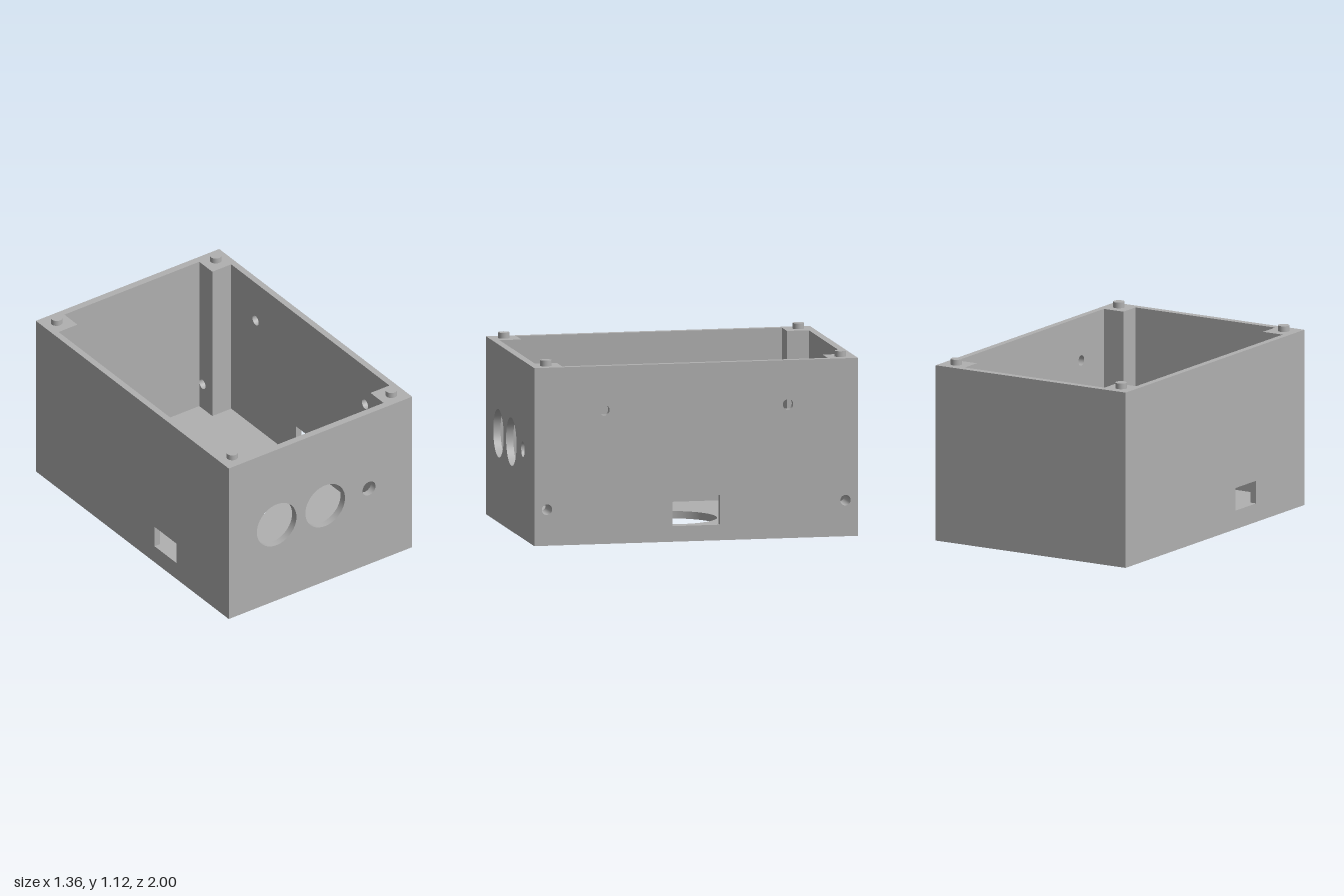
import * as THREE from 'three';

// overall half sizes, height, floor thickness
const X = 0.68, Z = 1, H = 1.085, FLOOR = 0.045;
// cavity half sizes and inner edges of the corner posts
const CX = 0.64, CZ = 0.955, PX = 0.5, PZ = 0.82;

const grey = new THREE.MeshStandardMaterial({ color: 0xb0b0b0, side: THREE.DoubleSide });
grey.name = 'matte grey plastic';

const circle = (u, v, r) => ({ u, v, r });
const slot = (u, v, w, h) => ({ u, v, w, h });

function add(parent, name, geometry) {
  const mesh = new THREE.Mesh(geometry, grey);
  mesh.name = name;
  parent.add(mesh);
  return mesh;
}

function rectPoints(u0, v0, u1, v1) {
  return [[u0, v0], [u1, v0], [u1, v1], [u0, v1]].map(([u, v]) => new THREE.Vector2(u, v));
}

function holePath(h) {
  if (h.r) return new THREE.Path().absarc(h.u, h.v, h.r, 0, Math.PI * 2, true);
  return new THREE.Path(rectPoints(h.u - h.w / 2, h.v - h.h / 2, h.u + h.w / 2, h.v + h.h / 2));
}

// flat face at depth z; inward faces are turned over by mirroring u
function face(parent, name, points, holes, z, inward = false) {
  const shape = new THREE.Shape(points);
  shape.holes = holes.map(holePath);
  const g = new THREE.ShapeGeometry(shape, 24);
  if (inward) {
    const i = g.index.array;
    for (let k = 0; k < i.length; k += 3) [i[k], i[k + 1]] = [i[k + 1], i[k]];
    g.computeVertexNormals();
  }
  g.translate(0, 0, z);
  return add(parent, name, g);
}

// inner surface of a hole running from z0 to z1
function liner(parent, h, z0, z1) {
  let g;
  if (h.r) {
    g = new THREE.CylinderGeometry(h.r, h.r, z1 - z0, 48, 1, true).rotateX(Math.PI / 2);
  } else {
    g = new THREE.CylinderGeometry(Math.SQRT1_2, Math.SQRT1_2, z1 - z0, 4, 1, true, Math.PI / 4);
    g = g.rotateX(Math.PI / 2).scale(h.w, h.h, 1).toNonIndexed();
    g.computeVertexNormals();
  }
  g.translate(h.u, h.v, (z0 + z1) / 2);
  add(parent, 'holeLiner', g);
}

// wall facing +z before turning, with its inner face and the post faces beside it
function wall(parent, name, turn, size, holes) {
  const { half, main, edge, outer, inner, post } = size;
  const group = new THREE.Group();
  group.name = name;
  group.rotation.y = turn;
  face(group, name + 'Outside', rectPoints(-half, 0, half, H), holes, outer);
  const inMain = holes.filter(h => Math.abs(h.u) < main);
  face(group, name + 'Inside', rectPoints(-main, FLOOR, main, H), inMain, inner, true);
  for (const s of [-1, 1]) {
    const u = [s * main, s * edge].sort((a, b) => a - b);
    const inPost = holes.filter(h => h.u * s > main);
    face(group, 'cornerPostFace', rectPoints(u[0], FLOOR, u[1], H), inPost, post, true);
  }
  for (const h of holes) liner(group, h, inMain.includes(h) ? inner : post, outer);
  parent.add(group);
}

export function createModel() {
  const model = new THREE.Group();
  model.name = 'openEnclosure';

  const endWall = { half: X, main: PX, edge: CX, outer: Z, inner: CZ, post: PZ };
  const sideWall = { half: Z, main: PZ, edge: CZ, outer: X, inner: CX, post: PX };

  // walls
  wall(model, 'frontWall', 0, endWall, [
    circle(-0.325, 0.545, 0.147), circle(0.035, 0.545, 0.147), circle(0.36, 0.545, 0.048),
  ]);
  wall(model, 'backWall', Math.PI, endWall, []);
  wall(model, 'leftWall', Math.PI / 2, sideWall, [
    circle(-0.567, 0.815, 0.032), circle(0.567, 0.815, 0.032),
    circle(-0.922, 0.22, 0.032), circle(0.922, 0.22, 0.032),
    slot(0, 0.185, 0.295, 0.18),
  ]);
  wall(model, 'rightWall', -Math.PI / 2, sideWall, [slot(0.345, 0.185, 0.23, 0.14)]);

  // cavity outline, stepping round the four posts
  const cavity = [
    [PX, -CZ], [PX, -PZ], [CX, -PZ], [CX, PZ], [PX, PZ], [PX, CZ],
    [-PX, CZ], [-PX, PZ], [-CX, PZ], [-CX, -PZ], [-PX, -PZ], [-PX, -CZ],
  ].map(([x, z]) => new THREE.Vector2(x, z));

  // floor and rim, drawn flat and laid down
  const level = new THREE.Group();
  level.name = 'floorAndRim';
  level.rotation.x = -Math.PI / 2;
  const drain = circle(0, 0, 0.272);
  face(level, 'floorUnderside', rectPoints(-X, -Z, X, Z), [drain], 0, true);
  face(level, 'floorTop', cavity, [drain], FLOOR);
  liner(level, drain, 0, FLOOR);
  const rim = new THREE.Shape(rectPoints(-X, -Z, X, Z));
  rim.holes.push(new THREE.Path(cavity));
  add(level, 'topRim', new THREE.ShapeGeometry(rim).translate(0, 0, H));
  model.add(level);

  // locating pegs on the posts
  for (const x of [-0.59, 0.59]) {
    for (const z of [-0.91, 0.91]) {
      const peg = add(model, 'peg', new THREE.CylinderGeometry(0.035, 0.035, 0.035, 32));
      peg.position.set(x, H + 0.0175, z);
    }
  }
  return model;
}
